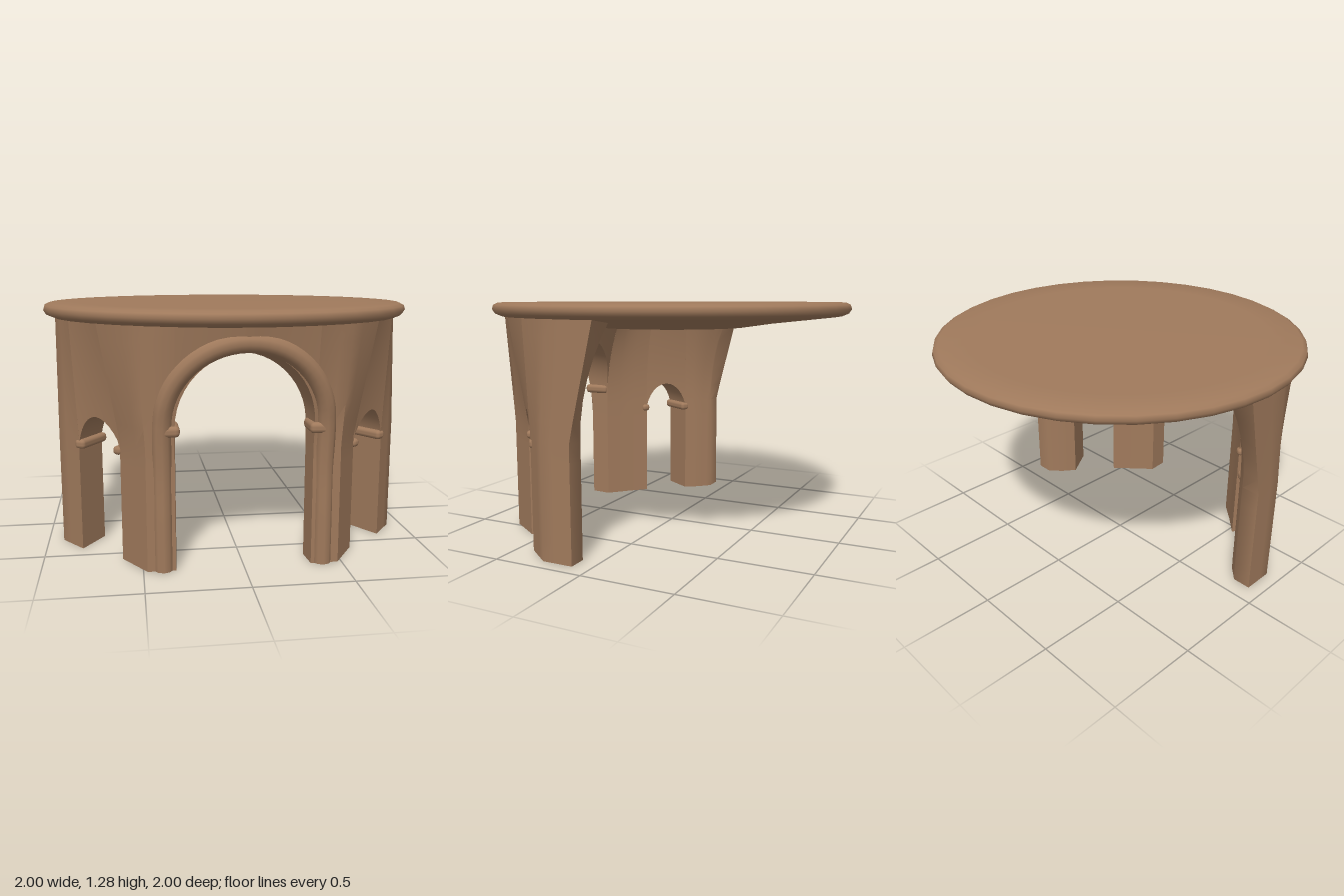
import * as THREE from 'three';
import { toCreasedNormals } from 'three/addons/utils/BufferGeometryUtils.js';
import { RoundedBoxGeometry } from 'three/addons/geometries/RoundedBoxGeometry.js';

const clay = new THREE.MeshStandardMaterial({ color: 0xa07a5c });
clay.name = 'brown clay';

const lerp = THREE.MathUtils.lerp;
const lean = (y) => THREE.MathUtils.clamp((y - 0.62) / 0.6, 0, 1);
const TOP = 1.22, ROWS = 12;

// Plan of the wall: outer and inner [x, z] at the ground, then the same at the top
const centre = [0, 0.76, 0, 0.62, 0, 0.9, 0, 0.54];
const jamb = [0.34, 0.76, 0.33, 0.64, 0.34, 0.86, 0.3, 0.5];
const corner = [0.48, 0.76, 0.43, 0.55, 0.52, 0.78, 0.4, 0.46];
const gapFront = [0.6, 0.58, 0.53, 0.45, 0.7, 0.62, 0.5, 0.38];
const gapBack = [0.81, 0.41, 0.7, 0.24, 0.84, 0.42, 0.63, 0.2];
const side = [0.92, 0.27, 0.75, 0.17, 0.92, 0.22, 0.68, 0.08];
const end = [0.92, 0.1, 0.82, 0.1, 0.93, -0.05, 0.76, -0.05];
const mirror = (key) => key.map((v, i) => (i % 2 ? v : -v));

// Wall section lofted along the plan, with its underside at height bottom(u), u from -1 to 1
function wallSection(keys, steps, bottom, innerDrop = 0) {
  const pos = [], idx = [], ring = 2 * (ROWS + 1);
  for (let k = 0; k <= steps; k++) {
    const t = (1 - Math.cos((Math.PI * k) / steps)) / 2;
    const f = t * (keys.length - 1), n = Math.min(Math.floor(f), keys.length - 2);
    const p = keys[n].map((v, i) => lerp(v, keys[n + 1][i], f - n));
    const u = 2 * t - 1, b = bottom(u);
    for (let j = 0; j <= ROWS; j++) {
      const y = lerp(b, TOP, j / ROWS), w = lean(y);
      pos.push(lerp(p[0], p[4], w), y, lerp(p[1], p[5], w));
    }
    for (let j = ROWS; j >= 0; j--) {
      const y = lerp(b - innerDrop * (1 - u * u), TOP, j / ROWS), w = lean(y) ** 2;
      pos.push(lerp(p[2], p[6], w), y, lerp(p[3], p[7], w));
    }
  }
  for (let k = 0; k < steps; k++) {
    for (let j = 0; j < ring; j++) {
      const a = k * ring + j, b = k * ring + ((j + 1) % ring);
      idx.push(a, a + ring, b + ring, a, b + ring, b);
    }
  }
  // End caps
  const last = steps * ring;
  for (let j = 0; j < ROWS; j++) {
    const o = j, o2 = j + 1, i = ring - 1 - j, i2 = ring - 2 - j;
    idx.push(i, o, o2, i, o2, i2);
    idx.push(last + i, last + o2, last + o, last + i, last + i2, last + o2);
  }
  const g = new THREE.BufferGeometry();
  g.setAttribute('position', new THREE.Float32BufferAttribute(pos, 3));
  g.setIndex(idx);
  return toCreasedNormals(g, 0.8);
}

export function createModel() {
  const model = new THREE.Group();
  model.name = 'archedTable';
  const add = (name, geometry, x = 0, y = 0, z = 0, ry = 0) => {
    const m = new THREE.Mesh(geometry, clay);
    m.name = name;
    m.position.set(x, y, z);
    m.rotation.y = ry;
    model.add(m);
    return m;
  };

  // Round top with a soft rim and a sagging underside
  const profile = [[0, 1.14], [0.2, 1.14], [0.42, 1.142], [0.6, 1.168], [0.8, 1.19], [0.95, 1.207],
    [0.985, 1.222], [1, 1.245], [0.993, 1.268], [0.97, 1.28], [0.8, 1.281], [0, 1.281]];
  const disc = new THREE.LatheGeometry(profile.map(([r, y]) => new THREE.Vector2(r, y)), 36);
  add('tableTop', toCreasedNormals(disc, 0.9));

  // Large front arch
  add('frontArch', wallSection([mirror(jamb), centre, jamb], 24,
    (u) => 0.72 + 0.37 * Math.sqrt(Math.max(0, 1 - u * u)), 0.035));

  // Legs and small side arches on both sides
  const sections = [
    ['frontLeg', [jamb, corner, gapFront], 8, () => 0],
    ['sideArch', [gapFront, gapBack], 14, (u) => 0.56 + 0.17 * Math.max(0, 1 - u * u) ** 0.6],
    ['backLeg', [gapBack, side, end], 8, () => 0],
  ];
  for (const [name, keys, steps, bottom] of sections) {
    add(name + 'Left', wallSection(keys, steps, bottom));
    add(name + 'Right', wallSection(keys.map(mirror).reverse(), steps, bottom));
  }

  // Raised moulding that runs up the front legs and around the large arch
  const path = [];
  const put = (x, y) => path.push(new THREE.Vector3(x, y, 0.74 + (0.13 - 0.16 * x * x) * lean(y)));
  for (const y of [0, 0.25, 0.5]) put(-0.4, y);
  for (let i = 0; i <= 12; i++) {
    const a = Math.PI * (1 - i / 12);
    put(0.4 * Math.cos(a), 0.73 + 0.4 * Math.sin(a));
  }
  for (const y of [0.5, 0.25, 0]) put(0.4, y);
  add('archMoulding', new THREE.TubeGeometry(new THREE.CatmullRomCurve3(path), 64, 0.048, 10));

  for (const s of [-1, 1]) {
    // Moulding foot
    add('mouldingFoot', new THREE.CircleGeometry(0.048, 10), s * 0.4, 0.001, 0.74).rotation.x = Math.PI / 2;
    // Small ledges where the arches spring
    add('frontLedge', new RoundedBoxGeometry(0.1, 0.055, 0.16, 2, 0.022), s * 0.365, 0.705, 0.72);
    add('sideLedgeFront', new RoundedBoxGeometry(0.05, 0.045, 0.17, 2, 0.02),
      s * 0.57, 0.57, 0.51, s * 0.65);
    add('sideLedgeBack', new RoundedBoxGeometry(0.06, 0.05, 0.22, 2, 0.02),
      s * 0.752, 0.57, 0.325, s * 0.57);
  }
  return model;
}
